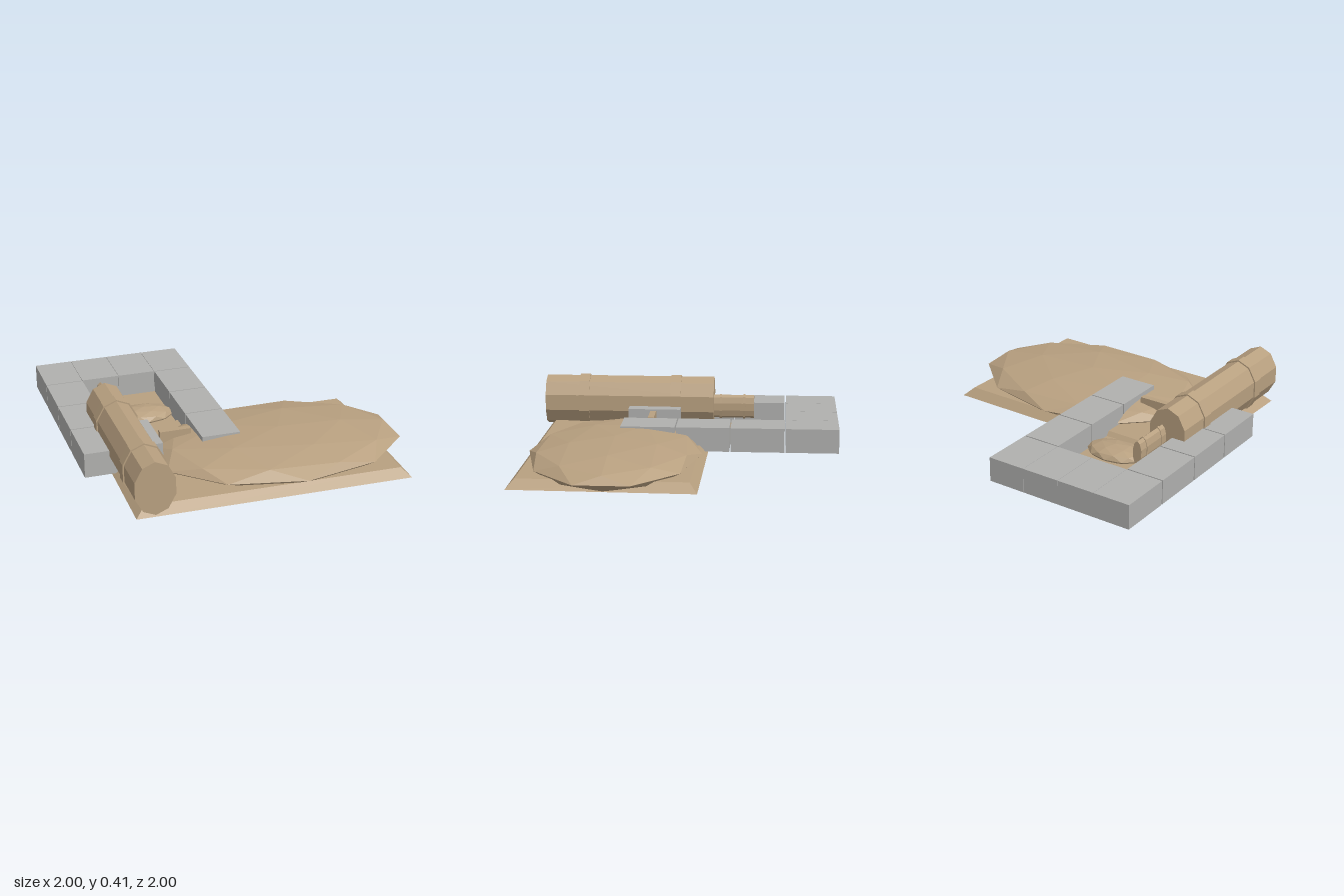
import * as THREE from 'three';

const tan = new THREE.MeshStandardMaterial({ color: 0xb8a080, flatShading: true });
tan.name = 'sandTan';
const gray = new THREE.MeshStandardMaterial({ color: 0xb0b0ae, flatShading: true });
gray.name = 'stoneGray';

function add(parent, name, geo, mat, x, y, z) {
  const m = new THREE.Mesh(geo, mat);
  m.name = name;
  m.position.set(x, y, z);
  parent.add(m);
  return m;
}

// Box given by its extents
function block(parent, name, mat, x0, x1, y0, y1, z0, z1) {
  return add(parent, name, new THREE.BoxGeometry(x1 - x0, y1 - y0, z1 - z0), mat,
    (x0 + x1) / 2, (y0 + y1) / 2, (z0 + z1) / 2);
}

// Flattened low-poly boulder with one vertex at the pole
function boulder(rx, ry, rz) {
  const g = new THREE.IcosahedronGeometry(1, 1);
  g.rotateX(-Math.atan2(1 + Math.sqrt(5), 2));
  g.rotateY(Math.PI / 2);
  g.scale(rx, ry, rz);
  return g;
}

// Oval ten-sided tube along z, with a vertex at the top
function tube(parent, name, x, y, rx, ry, z0, z1) {
  const g = new THREE.CylinderGeometry(1, 1, z1 - z0, 10);
  g.rotateX(Math.PI / 2);
  g.scale(rx, ry, 1);
  return add(parent, name, g, tan, x, y, (z0 + z1) / 2);
}

export function createModel() {
  const root = new THREE.Group();
  root.name = 'ruinSite';

  // Ground slab with sloped sides
  const slab = new THREE.BoxGeometry(1.72, 0.055, 1.14);
  const p = slab.attributes.position;
  for (let i = 0; i < p.count; i++) {
    if (p.getY(i) > 0) p.setXYZ(i, p.getX(i) * 0.933, p.getY(i), p.getZ(i) * 0.915);
  }
  slab.computeVertexNormals();
  add(root, 'groundSlab', slab, tan, 0.035, 0.0735, 0.415).rotation.y = -0.015;

  // Boulders
  add(root, 'largeBoulder', boulder(0.803, 0.108, 0.547), tan, 0.232, 0.113, 0.413);
  add(root, 'smallBoulder', boulder(0.194, 0.055, 0.128), tan, -0.435, 0.085, -0.297);

  // Large pipe with two collars
  const pipe = new THREE.Group();
  pipe.name = 'largePipe';
  root.add(pipe);
  tube(pipe, 'pipeBody', -0.722, 0.237, 0.129, 0.17, -0.165, 0.99);
  for (const z of [0.06, 0.69]) tube(pipe, 'pipeCollar', -0.722, 0.237, 0.138, 0.179, z, z + 0.07);

  // Thin pipe with two collars
  const thin = new THREE.Group();
  thin.name = 'thinPipe';
  root.add(thin);
  tube(thin, 'thinPipeBody', -0.685, 0.21, 0.031, 0.08, -0.44, -0.165);
  for (const z of [-0.38, -0.22]) tube(thin, 'thinPipeCollar', -0.685, 0.21, 0.035, 0.086, z, z + 0.015);

  // Stone wall blocks: full back row, two side columns, wider front left
  const walls = new THREE.Group();
  walls.name = 'walls';
  root.add(walls);
  const xs = [-1, -0.755, -0.506, -0.258, -0.01];
  const zs = [-1, -0.65, -0.295, 0.058, 0.41];
  const filled = [[0, 1, 2, 3], [0, 3], [0, 3], [0, 1, 3]];
  filled.forEach((cols, r) => {
    for (const c of cols) {
      block(walls, 'wallBlock', gray, xs[c], xs[c + 1] - 0.002, 0.063, 0.22, zs[r], zs[r + 1] - (r < 3 ? 0.008 : 0));
    }
  });

  // Floor tiles in the courtyard
  for (let c = 1; c < 3; c++) {
    for (let r = 1; r < 3; r++) {
      block(root, 'floorTile', tan, xs[c], xs[c + 1] - 0.002, 0.06, 0.075, zs[r], zs[r + 1] - 0.003);
    }
  }

  // Upright plank in the doorway
  block(root, 'doorPlank', tan, -0.483, -0.282, 0.06, 0.216, 0.217, 0.257);

  return root;
}
